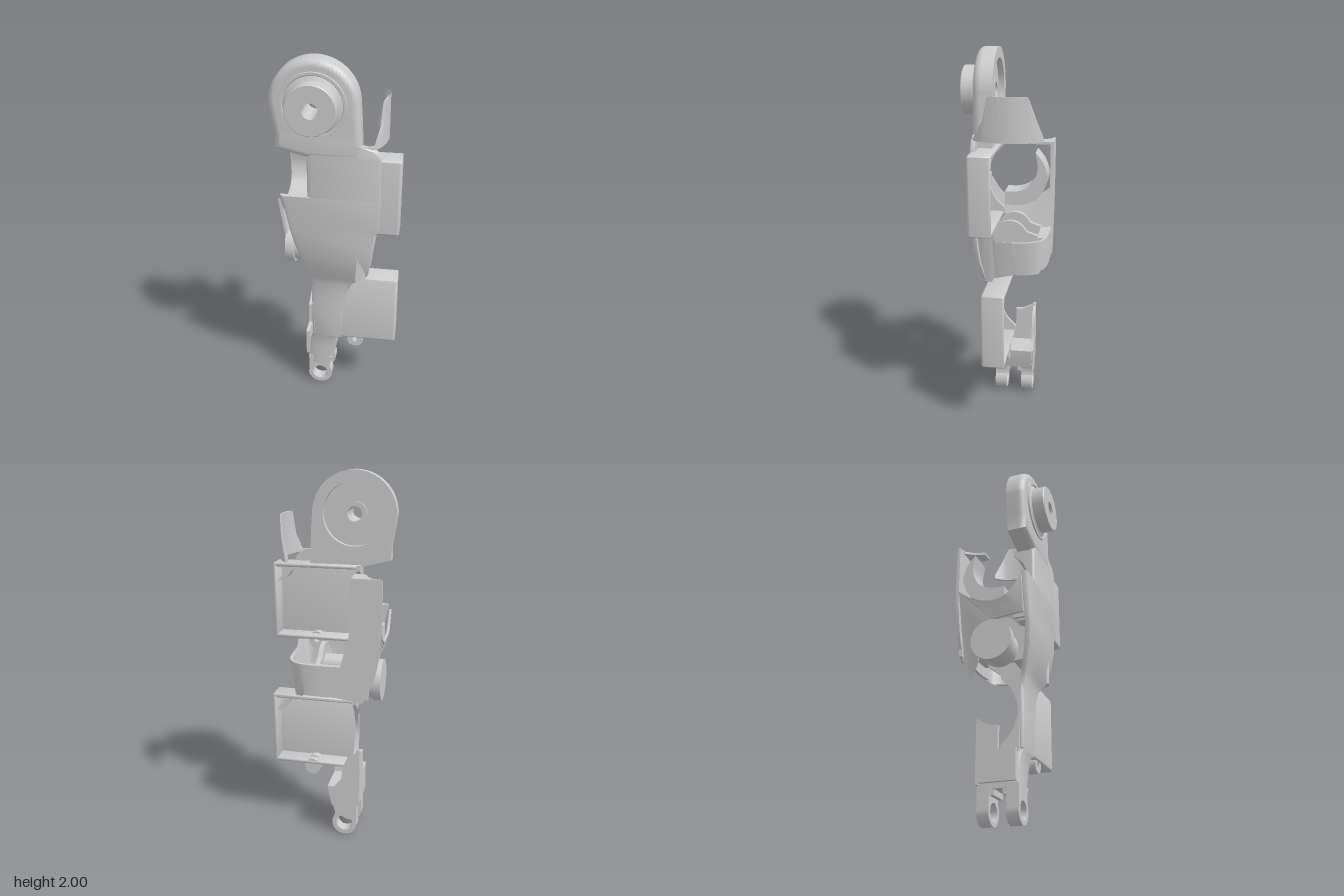
import * as THREE from 'three';
import { toCreasedNormals } from 'three/addons/utils/BufferGeometryUtils.js';
import { RoundedBoxGeometry } from 'three/addons/geometries/RoundedBoxGeometry.js';

const grey = new THREE.MeshStandardMaterial({ color: 0xcccccc, side: THREE.DoubleSide });
grey.name = 'shell grey';

const toShape = (pts) => new THREE.Shape(pts.map(([a, b]) => new THREE.Vector2(a, b)));
const smooth = (pts, n = 24) =>
  new THREE.SplineCurve(pts.map(([a, b]) => new THREE.Vector2(a, b))).getPoints(n).map((p) => [p.x, p.y]);
const circleHole = (x, y, r) => new THREE.Path().absarc(x, y, r, 0, Math.PI * 2, true);

export function createModel() {
  const model = new THREE.Group();
  model.name = 'limbShell';

  const add = (name, geometry, crease = 0.6) => {
    const mesh = new THREE.Mesh(toCreasedNormals(geometry, crease), grey);
    mesh.name = name;
    model.add(mesh);
  };
  const box = (name, x0, x1, y0, y1, z0, z1, r = 0) => {
    const s = [x1 - x0, y1 - y0, z1 - z0];
    const g = r ? new RoundedBoxGeometry(...s, 3, r) : new THREE.BoxGeometry(...s);
    add(name, g.translate((x0 + x1) / 2, (y0 + y1) / 2, (z0 + z1) / 2));
  };
  // outline in x, y, extruded along z
  const slab = (name, shape, z0, z1) =>
    add(name, new THREE.ExtrudeGeometry(shape, { depth: z1 - z0, bevelEnabled: false, curveSegments: 40 }).translate(0, 0, z0));
  // outline in z, y, extruded along x; slant shifts x with height
  const sideSlab = (name, pts, x0, x1, slant = () => 0) => {
    const g = new THREE.ExtrudeGeometry(toShape(pts.map(([z, y]) => [-z, y])), { depth: x1 - x0, bevelEnabled: false });
    g.rotateY(Math.PI / 2).translate(x0, 0, 0);
    const p = g.attributes.position;
    for (let i = 0; i < p.count; i++) p.setX(i, p.getX(i) + slant(p.getY(i)));
    add(name, g);
  };
  // thin curved wall along a path in x, z; its right side leans in towards the bottom
  const ribbon = (name, path, t, bottom, top, lean = 0) => {
    const curve = new THREE.SplineCurve(path.map(([x, z]) => new THREE.Vector2(x, -z)));
    const outer = curve.getPoints(60);
    const inner = outer.map((p, i) => {
      const d = curve.getTangent(i / 60);
      return new THREE.Vector2(p.x - d.y * t, p.y + d.x * t);
    });
    const g = new THREE.ExtrudeGeometry(new THREE.Shape([...outer, ...inner.reverse()]), { depth: 1, bevelEnabled: false });
    g.rotateX(-Math.PI / 2);
    const p = g.attributes.position;
    for (let i = 0; i < p.count; i++) {
      const z = p.getZ(i), x = p.getX(i), k = p.getY(i);
      p.setX(i, x - Math.max(0, x) * lean * (1 - k));
      p.setY(i, THREE.MathUtils.lerp(bottom(z), top(z), k));
    }
    add(name, g);
  };
  const xCylinder = (name, r, x0, x1, y, z) =>
    add(name, new THREE.CylinderGeometry(r, r, x1 - x0, 40).rotateZ(Math.PI / 2).translate((x0 + x1) / 2, y, z));
  // plate from rows of [y, left, right, front z]
  const plate = (name, rows, t) => {
    const pos = [], idx = [], n = 8;
    for (const [y, l, r, f] of rows) {
      const ring = [[l, f - t], [r, f - t], [r, f - 0.022], [r - 0.008, f - 0.007], [r - 0.025, f],
        [l + 0.025, f], [l + 0.008, f - 0.007], [l, f - 0.022]];
      for (const [x, z] of ring) pos.push(x, y, z);
    }
    for (let j = 0; j < rows.length - 1; j++) for (let i = 0; i < n; i++) {
      const a = j * n + i, b = j * n + (i + 1) % n;
      idx.push(a, b, a + n, b, b + n, a + n);
    }
    const e = (rows.length - 1) * n;
    for (let i = 1; i < n - 1; i++) idx.push(0, i + 1, i, e, e + i, e + i + 1);
    const g = new THREE.BufferGeometry();
    g.setAttribute('position', new THREE.Float32BufferAttribute(pos, 3));
    g.setIndex(idx);
    add(name, g);
  };

  // Shoulder head: recessed back ring and a rounded front cap, sharing one outline
  const hx = -0.11, hy = 1.775, R = 0.225;
  const headShape = (holeRadius) => {
    const s = new THREE.Shape().moveTo(-0.15, 1.5);
    s.lineTo(0.13, 1.5);
    s.lineTo(0.125, 1.6);
    s.quadraticCurveTo(0.122, 1.7, hx + R, hy);
    s.absarc(hx, hy, R, 0, Math.PI, false);
    s.quadraticCurveTo(-0.325, 1.7, -0.31, 1.62);
    s.lineTo(-0.31, 1.54);
    s.holes.push(circleHole(hx, hy, holeRadius));
    return s;
  };
  slab('shoulderBackRing', headShape(0.168), 0.053, 0.115);
  const cap = new THREE.ExtrudeGeometry(headShape(0.05), {
    depth: 0.003, bevelSize: 0.035, bevelOffset: -0.035, bevelThickness: 0.04, bevelSegments: 6, curveSegments: 40,
  }).translate(0, 0, 0.115);
  const cp = cap.attributes.position;
  for (let i = 0; i < cp.count; i++) cp.setZ(i, Math.max(cp.getZ(i), 0.115));
  add('shoulderFrontCap', cap, 0.7);
  // Hub with raised ring, bore and a back boss
  const hub = [[0.04, 0.07], [0.065, 0.07], [0.065, 0.085], [0.168, 0.085], [0.168, 0.155], [0.165, 0.166], [0.152, 0.166],
    [0.148, 0.16], [0.128, 0.17], [0.128, 0.235], [0.124, 0.24], [0.04, 0.24], [0.04, 0.07]];
  add('shoulderHub', new THREE.LatheGeometry(hub.map(([r, z]) => new THREE.Vector2(r, z)), 56)
    .rotateX(Math.PI / 2).translate(hx, hy, 0));

  // Front shell
  plate('upperFrontPlate', [[1.575, -0.15, 0.15, 0.155], [1.555, -0.15, 0.205, 0.155], [1.53, -0.15, 0.225, 0.155],
    [1.5, -0.15, 0.24, 0.155], [1.28, -0.15, 0.24, 0.157]], 0.03);
  plate('frontPlate', [[1.285, -0.295, 0.24, 0.157], [1.11, -0.255, 0.235, 0.157], [1.08, -0.25, 0.205, 0.157],
    [1.0, -0.23, 0.2, 0.154], [0.9, -0.2, 0.188, 0.14], [0.8, -0.175, 0.165, 0.115], [0.77, -0.16, 0.13, 0.105],
    [0.73, -0.152, 0.08, 0.098], [0.66, -0.15, 0.057, 0.092], [0.55, -0.15, 0.045, 0.09], [0.36, -0.15, 0.03, 0.088],
    [0.34, -0.16, -0.005, 0.08], [0.27, -0.175, -0.015, 0.072], [0.14, -0.175, -0.05, 0.07]], 0.03);

  // Motor trays, open at the back
  for (const [name, y0, y1, zr, zf] of [['upperTray', 1.09, 1.51, 0.03, 0.15], ['lowerTray', 0.36, 0.775, -0.037, 0.085]]) {
    box(name + 'Floor', -0.15, 0.33, y0, y1, zf - 0.03, zf, 0.012);
    box(name + 'OuterWall', 0.308, 0.33, y0, y1, zr, zf - 0.004, 0.008);
    box(name + 'TopWall', -0.13, 0.33, y1 - 0.022, y1, zr, zf - 0.004, 0.008);
    box(name + 'BottomWall', -0.1, 0.33, y0, y0 + 0.022, zr, zf - 0.004, 0.008);
    // inner wall with a round motor cut-out
    const ym = (y0 + y1) / 2, zb = zf - 0.02;
    sideSlab(name + 'InnerWall', [[zb, y0], [zr, y0],
      ...smooth([[zr, y0 + 0.03], [zr + 0.06, y0 + 0.1], [zb - 0.01, ym], [zr + 0.06, y1 - 0.1], [zr, y1 - 0.03]]),
      [zr, y1], [zb, y1]], -0.15, -0.13);
    // rounded pad in the outer corner and a pierced screw lug
    const pad = new THREE.Shape().moveTo(0.31, y1 - 0.02);
    pad.absarc(0.31, y1 - 0.02, 0.08, Math.PI, Math.PI * 1.5, false);
    slab(name + 'CornerPad', pad, zr + 0.01, zf - 0.02);
    const lug = new THREE.Shape().absarc(0.1, y0 - 0.015, 0.046, 0, Math.PI * 2, false);
    lug.holes.push(circleHole(0.1, y0 - 0.015, 0.015));
    slab(name + 'ScrewLug', lug, zf - 0.07, zf - 0.008);
  }
  slab('lowerHookLip', new THREE.Shape().absarc(0.1, 0.345, 0.046, 0, Math.PI * 2, false), -0.035, -0.015);

  // Curved ear flap beside the head
  ribbon('earFlap', [[0.1, 0.155], [0.14, 0.152], [0.2, 0.13], [0.236, 0.06], [0.25, -0.05], [0.225, -0.16], [0.185, -0.22]], 0.014,
    () => 1.56,
    (z) => z > 0.06 ? Math.max(1.575, 1.785 - (z - 0.06) * 4.5) : z > -0.14 ? 1.785 : 1.785 - (-0.14 - z) * 2.8);

  // Waist band around the side and back
  ribbon('waistBand', [[0.12, 0.145], [0.175, 0.12], [0.198, 0.04], [0.205, -0.05], [0.19, -0.15], [0.14, -0.215],
    [0.05, -0.235], [-0.08, -0.237], [-0.25, -0.235]], 0.016,
    (z) => z > 0.05 ? 0.79 : z > -0.2 ? 0.84 : 0.86, (z) => z > 0.03 ? 1.08 : 1.03, 0.14);

  // Back strap and its top lip
  slab('backStrap', toShape([...smooth([[-0.31, 1.49], [-0.312, 1.3], [-0.305, 1.12], [-0.27, 0.95], [-0.22, 0.84]]),
    [-0.08, 0.86], [-0.1, 1.03], [-0.145, 1.2], [-0.15, 1.495]]), -0.238, -0.222);
  const lip = toShape([[-0.31, 0.235], [-0.255, 0.215], [-0.225, 0.17], [-0.21, 0.115], [-0.15, 0.115], [-0.15, 0.238]]);
  add('strapLip', new THREE.ExtrudeGeometry(lip, { depth: 0.014, bevelEnabled: false })
    .rotateX(-Math.PI / 2).translate(0, 1.482, 0));

  // Side fairing and the crescent cradle above it
  sideSlab('sideFairing', [...smooth([[0.13, 1.26], [0.06, 1.16], [-0.04, 1.13], [-0.15, 1.16], [-0.232, 1.22]]),
    [-0.234, 0.86], [-0.19, 0.755], [-0.14, 0.84], ...smooth([[-0.15, 0.93], [-0.1, 1.02], [0, 1.04], [0.13, 1.05]])],
    -0.31, -0.296, (y) => Math.max(0, 1.15 - y) * 0.3);
  sideSlab('motorCradle', [...smooth([[-0.14, 1.435], [-0.188, 1.37], [-0.207, 1.28], [-0.16, 1.18], [-0.07, 1.135], [0.03, 1.135]]),
    ...smooth([[0.03, 1.21], [-0.05, 1.215], [-0.12, 1.255], [-0.152, 1.34], [-0.141, 1.43]])], -0.29, -0.15);
  box('cradleBlock', -0.25, -0.15, 1.28, 1.36, -0.19, -0.165);

  // Elbow joint: drum, axle, cheeks and cross bars
  xCylinder('elbowDisc', 0.112, -0.298, -0.25, 0.91, -0.04);
  xCylinder('elbowDrum', 0.098, -0.25, -0.15, 0.91, -0.04);
  xCylinder('elbowAxle', 0.056, -0.14, 0.04, 0.98, -0.04);
  const cheek = [[0.11, 0.84], [0.11, 1.02], ...smooth([[0.06, 1.04], [0.02, 1.085], [-0.03, 1.1], [-0.08, 1.085], [-0.12, 1.04]], 16),
    [-0.18, 1.02], [-0.18, 0.9], [-0.1, 0.84]];
  sideSlab('elbowCheek', cheek, -0.15, -0.125);
  sideSlab('elbowCheek', cheek, 0.02, 0.045);
  box('elbowBackBar', -0.12, 0.07, 0.92, 1.02, -0.225, -0.178);
  box('elbowFrontBar', -0.13, 0.03, 0.85, 0.9, 0.02, 0.1);

  // Wrist fork: block, two pierced prongs and a back fairing
  slab('forkBlock', toShape([[-0.175, 0.17], [-0.04, 0.17], [-0.02, 0.24], [-0.012, 0.29], [-0.172, 0.29]]), -0.145, 0.06);
  for (const [z0, z1] of [[0.005, 0.07], [-0.147, -0.083]]) {
    const prong = new THREE.Shape().moveTo(-0.177, 0.19);
    prong.lineTo(-0.178, 0.07);
    prong.absarc(hx, 0.07, 0.07, Math.PI, Math.PI * 2.2, false);
    prong.quadraticCurveTo(-0.06, 0.15, -0.035, 0.19);
    prong.holes.push(circleHole(hx, 0.07, 0.046));
    slab('forkProng', prong, z0, z1);
  }
  for (const [z0, z1] of [[-0.015, 0.01], [-0.09, -0.06]]) box('forkStep', -0.17, -0.05, 0.14, 0.175, z0, z1);
  sideSlab('wristSideFairing', [[0.06, 0.2], [0.06, 0.36], [-0.035, 0.36], ...smooth([[-0.035, 0.485], [-0.08, 0.49], [-0.149, 0.525]], 10),
    [-0.149, 0.2]], -0.193, -0.172);
  slab('wristBackFairing', toShape([[-0.192, 0.19], [-0.05, 0.19], [-0.04, 0.28], [-0.09, 0.34],
    ...smooth([[-0.1, 0.42], [-0.13, 0.48], [-0.192, 0.525]], 10)]), -0.152, -0.137);

  return model;
}
